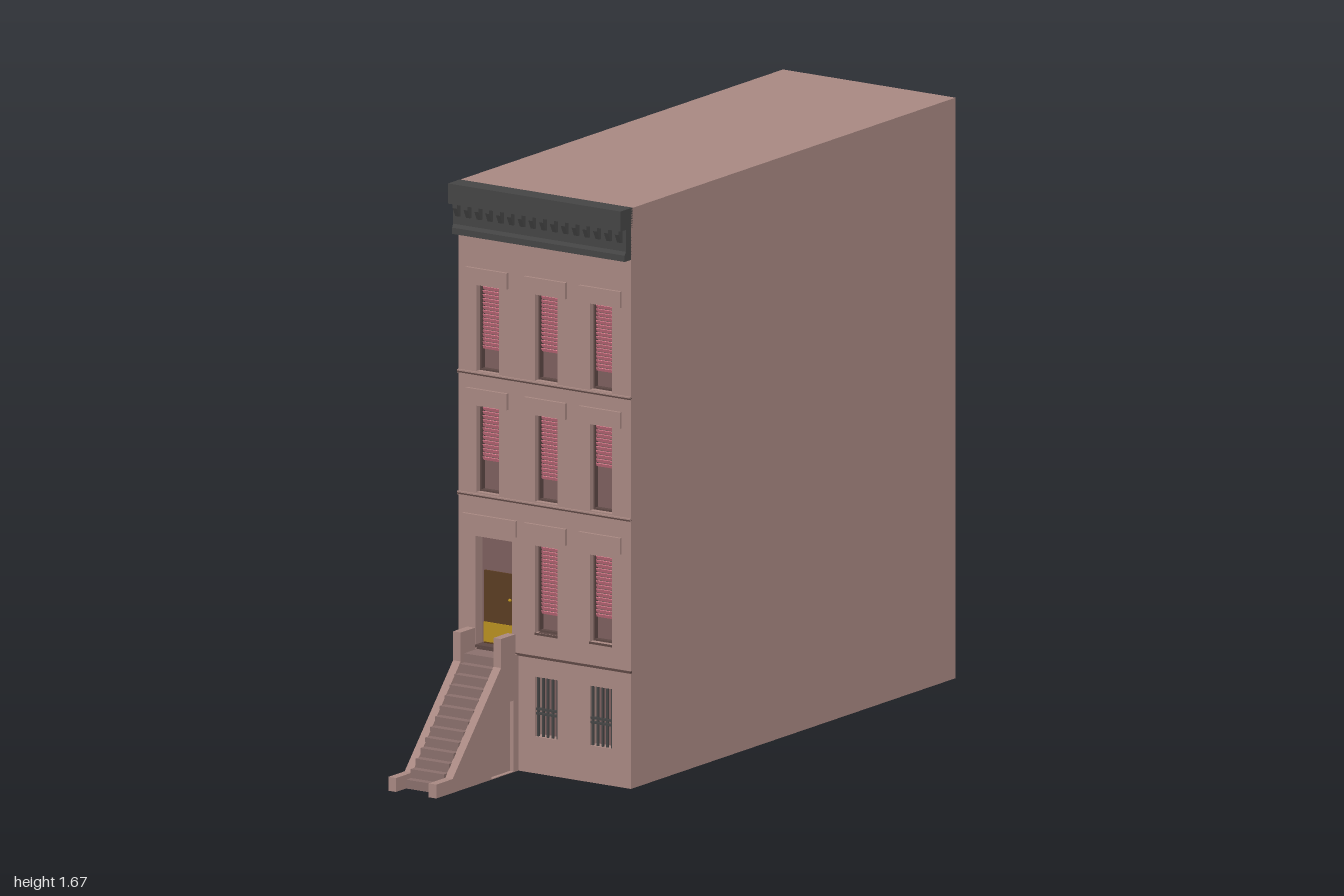
import * as THREE from 'three';

const mat = (color) => new THREE.MeshStandardMaterial({ color, flatShading: true });
const stone = mat(0xa88882), glass = mat(0x7d5f5e), iron = mat(0x454545);
const blindPink = mat(0xd8788a), sash = mat(0x5c4744), stepStone = mat(0x8a706c);
const doorWood = mat(0x5a3c22), brass = mat(0xb89020);

const X0 = -0.295, X1 = 0.292, MID = (X0 + X1) / 2, W = X1 - X0;
const FRONT = 0.597, RECESS = 0.56, HEIGHT = 1.67;

export function createModel() {
  const model = new THREE.Group();
  model.name = 'townhouse';

  // Box given by its limits on each axis
  function box(name, material, x0, x1, y0, y1, z0, z1, parent = model) {
    const m = new THREE.Mesh(new THREE.BoxGeometry(x1 - x0, y1 - y0, z1 - z0), material);
    m.position.set((x0 + x1) / 2, (y0 + y1) / 2, (z0 + z1) / 2);
    m.name = name;
    parent.add(m);
    return m;
  }
  const polygon = (pts) => new THREE.Shape(pts.map((p) => new THREE.Vector2(p[0], p[1])));

  // Extrude a (z, y) side profile from x0 to x1
  function sideExtrude(name, material, shape, x0, x1) {
    const g = new THREE.ExtrudeGeometry(shape, { depth: x1 - x0, bevelEnabled: false });
    g.rotateY(-Math.PI / 2);
    // the turn maps profile x to +z and depth to -x
    g.translate(x1, 0, 0);
    const m = new THREE.Mesh(g, material);
    m.name = name;
    model.add(m);
    return m;
  }

  // Window columns, and rows with the lower edge of each blind
  const columns = [-0.195, 0.004, 0.19];
  const halfW = 0.038;
  const floors = [
    { y0: 1.13, y1: 1.377, blinds: [1.19, 1.21, 1.18] },
    { y0: 0.782, y1: 1.03, blinds: [0.87, 0.843, 0.905] },
    { y0: 0.405, y1: 0.655, blinds: [null, 0.455, 0.472] },
  ];
  const door = { x0: -0.236, x1: -0.113, y0: 0.335, y1: 0.655 };
  const cellar = { y0: 0.106, y1: 0.278 };

  // Main block and pierced facade
  box('mainBlock', stone, X0, X1, 0, HEIGHT, -0.998, RECESS);
  const wall = polygon([[X0, 0], [X1, 0], [X1, HEIGHT], [X0, HEIGHT]]);
  const pierce = (x0, x1, y0, y1) => wall.holes.push(polygon([[x0, y0], [x0, y1], [x1, y1], [x1, y0]]));
  pierce(door.x0, door.x1, door.y0, door.y1);
  floors.forEach((f) => columns.forEach((x, i) => {
    if (f.blinds[i] !== null) pierce(x - halfW, x + halfW, f.y0, f.y1);
  }));
  columns.slice(1).forEach((x) => pierce(x - halfW, x + halfW, cellar.y0, cellar.y1));
  const facade = new THREE.Mesh(
    new THREE.ExtrudeGeometry(wall, { depth: FRONT - RECESS, bevelEnabled: false }), stone);
  facade.position.z = RECESS;
  facade.name = 'facade';
  model.add(facade);

  // Sash window with a slatted blind
  function windowUnit(x, y0, y1, blindY) {
    const g = new THREE.Group();
    g.name = 'window';
    model.add(g);
    const a = x - halfW, b = x + halfW, t = 0.005;
    box('windowPane', glass, a, b, y0, y1, RECESS, RECESS + 0.004, g);
    box('sashSide', sash, a, a + t, y0, y1, RECESS, 0.58, g);
    box('sashSide', sash, b - t, b, y0, y1, RECESS, 0.58, g);
    box('sashTop', sash, a, b, y1 - t, y1, RECESS, 0.58, g);
    box('sashBottom', sash, a, b, y0, y0 + t, RECESS, 0.58, g);
    const n = Math.round((y1 - t - blindY) / 0.0115), pitch = (y1 - t - blindY) / n;
    for (let i = 0; i < n; i++) {
      const y = blindY + pitch * i;
      const slat = box('blindSlat', blindPink, a + t, b - t, y, y + pitch * 0.85, 0.57, 0.5725, g);
      slat.rotation.x = 0.45;
    }
  }

  // Flat stone lintel over an opening
  const lintel = (x0, x1, y) => box('lintel', stone, x0, x1, y, y + 0.047, FRONT - 0.005, 0.606);

  floors.forEach((f) => columns.forEach((x, i) => {
    if (f.blinds[i] === null) return;
    windowUnit(x, f.y0, f.y1, f.blinds[i]);
    lintel(x - 0.07, x + 0.07, f.y1 + (f.y0 < 0.5 ? 0.016 : 0.003));
    if (f.y0 < 0.5) box('windowSill', sash, x - halfW, x + halfW, f.y0 - 0.006, f.y0, RECESS, 0.6);
  }));
  lintel(-0.276, -0.095, 0.671);

  // Barred basement windows
  columns.slice(1).forEach((x) => {
    const g = new THREE.Group();
    g.name = 'basementWindow';
    model.add(g);
    const { y0, y1 } = cellar;
    box('basementPane', glass, x - halfW, x + halfW, y0, y1, RECESS, RECESS + 0.004, g);
    for (let i = 0; i < 5; i++) {
      const bx = x - 0.033 + i * 0.0165;
      box('bar', iron, bx - 0.003, bx + 0.003, y0, y1, 0.585, 0.591, g);
    }
    for (const y of [0.172, 0.185])
      box('crossBar', iron, x - halfW, x + halfW, y - 0.003, y + 0.003, 0.584, 0.593, g);
  });

  // String courses between floors
  for (const y of [0.772, 1.122]) {
    box('stringCourse', stone, X0, X1, y - 0.004, y + 0.006, FRONT - 0.005, 0.603);
    box('stringCourseShadow', sash, X0, X1, y - 0.002, y + 0.002, FRONT - 0.005, 0.6045);
  }
  box('basementCourse', sash, X0, X1, 0.332, 0.338, FRONT - 0.005, 0.601);

  // Front door
  box('doorReveal', glass, door.x0, door.x1, door.y0, door.y1, RECESS, RECESS + 0.003);
  box('doorLeaf', doorWood, -0.227, -0.122, 0.342, 0.553, RECESS, 0.568);
  box('kickPlate', brass, -0.227, -0.122, 0.348, 0.405, RECESS, 0.571);
  box('threshold', sash, door.x0, door.x1, 0.335, 0.343, RECESS, 0.6);
  const knob = new THREE.Mesh(new THREE.SphereGeometry(0.005, 8, 6), brass);
  knob.position.set(-0.137, 0.478, 0.572);
  knob.name = 'doorKnob';
  model.add(knob);

  // Cornice: frieze, projecting lip and bracket teeth
  sideExtrude('corniceFrieze', iron, polygon([[0.59, 1.522], [0.628, 1.522], [0.628, 1.54],
    [0.622, 1.55], [0.622, 1.615], [0.59, 1.615]]), X0, X1);
  box('corniceLip', iron, X0, X1, 1.613, HEIGHT + 0.001, 0.59, 0.648);
  const tooth = polygon([[0.615, 1.575], [0.629, 1.575], [0.641, 1.6], [0.641, 1.614], [0.615, 1.614]]);
  const teeth = 16;
  for (let i = 0; i < teeth; i++) {
    const x = MID + ((i + 0.5) / teeth - 0.5) * W;
    sideExtrude('corniceBracket', iron, tooth, x - 0.007, x + 0.007);
  }

  // Stoop side walls; the one toward the left has an under-stair opening
  const cheekPts = [[1, 0], [1, 0.04], [0.92, 0.04], [0.682, 0.312], [0.682, 0.395],
    [0.612, 0.395], [0.612, 0.335], [0.595, 0.335], [0.595, 0]];
  const archPts = [[0.73, 0.002], [0.725, 0.15], [0.71, 0.17], [0.675, 0.2], [0.655, 0.206],
    [0.62, 0.206], [0.62, 0.002]];
  sideExtrude('stoopWall', stone, polygon(cheekPts), -0.254, -0.228);
  const archWall = polygon(cheekPts);
  archWall.holes.push(polygon(archPts));
  sideExtrude('stoopWall', stone, archWall, -0.117, -0.091);
  sideExtrude('underStairPanel', stone, polygon(archPts), -0.116, -0.104);

  // Stair flight with a sloping underside
  const steps = 13, top = 0.332, zFoot = 0.95, zTop = 0.665;
  const flight = [];
  for (let i = 0; i < steps; i++) {
    const z = zFoot - (i / (steps - 1)) * (zFoot - zTop);
    flight.push([z, (i / steps) * top], [z, ((i + 1) / steps) * top]);
  }
  flight.push([0.59, top], [0.59, top - 0.03], [zTop - 0.01, top - 0.03], [zFoot - 0.03, 0]);
  sideExtrude('stairFlight', stepStone, polygon(flight), -0.229, -0.116);

  return model;
}
